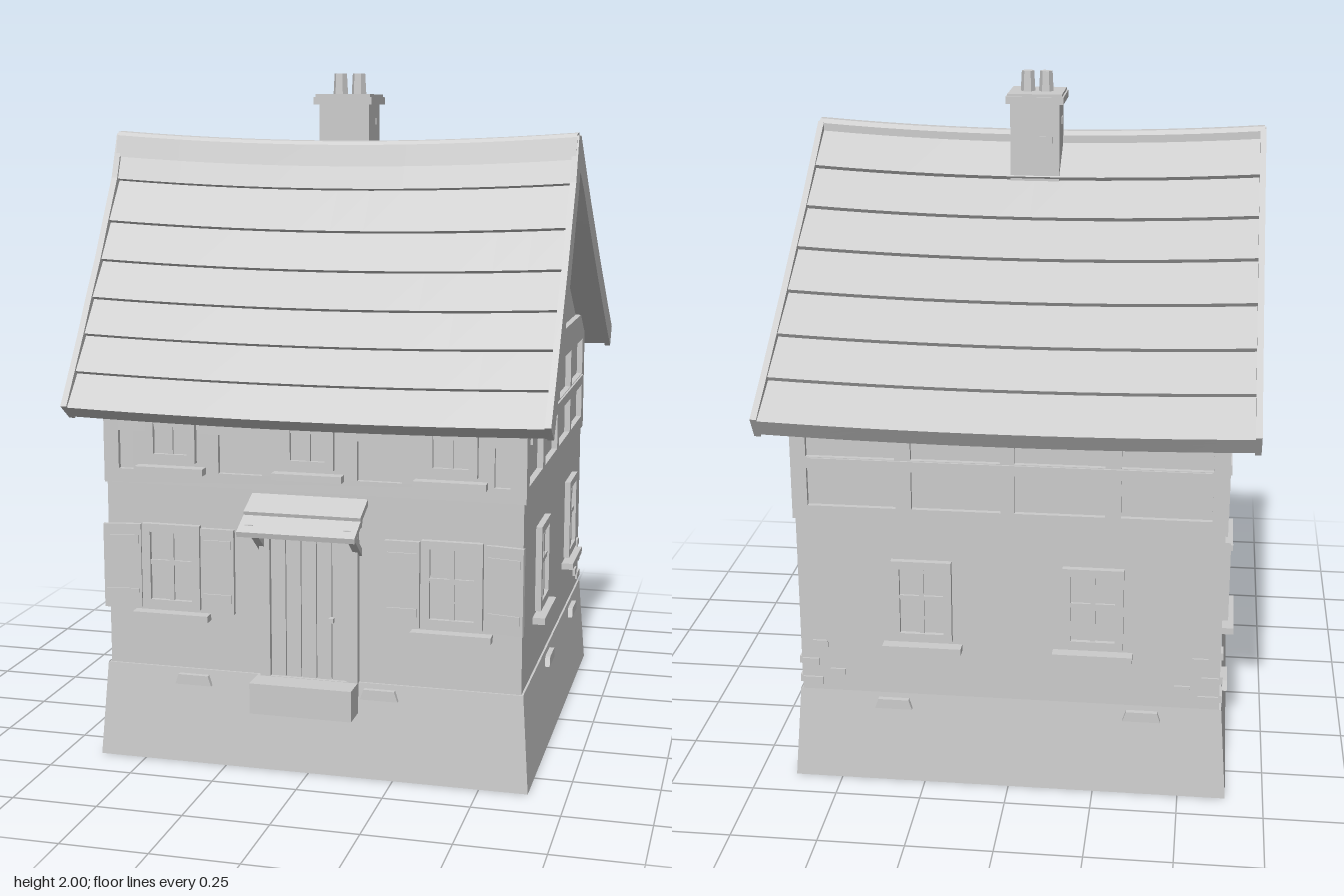
import * as THREE from 'three';

const stone = new THREE.MeshStandardMaterial({ color: 0xcccccc });
stone.name = 'plain grey';
stone.side = THREE.DoubleSide;

function add(parent, name, geometry, x = 0, y = 0, z = 0) {
  const mesh = new THREE.Mesh(geometry, stone);
  mesh.name = name;
  mesh.position.set(x, y, z);
  parent.add(mesh);
  return mesh;
}
const box = (parent, name, w, h, d, x, y, z) => add(parent, name, new THREE.BoxGeometry(w, h, d), x, y, z);

function shapeOf(points, holes = []) {
  const toV = (list) => list.map(([a, b]) => new THREE.Vector2(a, b));
  const shape = new THREE.Shape(toV(points));
  holes.forEach((h) => shape.holes.push(new THREE.Path(toV(h))));
  return shape;
}
const rect = (x0, x1, y0, y1) => [[x0, y0], [x1, y0], [x1, y1], [x0, y1]];
const extrude = (points, holes, depth, steps = 1) =>
  new THREE.ExtrudeGeometry(shapeOf(points, holes), { depth, steps, bevelEnabled: false });

// A (z, y) outline swept along x from x0 to x1
function prism(points, x0, x1, holes = [], steps = 1) {
  return extrude(points, holes, x1 - x0, steps).rotateY(-Math.PI / 2).translate(x1, 0, 0);
}

// Old roofs sag in the middle, most at the ridge
function sag(geometry) {
  const p = geometry.attributes.position;
  for (let i = 0; i < p.count; i++) {
    const k = 1 - (p.getX(i) / 0.69) ** 2;
    p.setY(i, p.getY(i) - 0.025 * k * (0.4 + 0.6 * (p.getY(i) - 1) / 0.8));
  }
  geometry.computeVertexNormals();
  return geometry;
}

// Moves a slope profile along its normal; s is +1 for the front, -1 for the back
function offset(profile, d, s) {
  return profile.map(([z, y], i) => {
    if (i === 0) return [z, y + d * 1.25];
    const [az, ay] = profile[i - 1];
    const [bz, by] = profile[Math.min(i + 1, profile.length - 1)];
    const l = Math.hypot(bz - az, by - ay);
    return [z - ((by - ay) / l) * d * s, y + (Math.abs(bz - az) / l) * d];
  });
}
// Layer between two offsets; both slopes share one point under the ridge
function band(profile, top, bottom, s) {
  const under = offset(profile, bottom, s);
  under[0] = [0.212, 1.815 + bottom * 1.4];
  return [...offset(profile, top, s), ...under.reverse()];
}

function buildRoof(house) {
  const roof = new THREE.Group();
  roof.name = 'roof';
  house.add(roof);
  const slopes = [
    ['front', 1, [[0.25, 1.815], [0.295, 1.69], [0.37, 1.57], [0.437, 1.46], [0.51, 1.355], [0.575, 1.255], [0.645, 1.155], [0.713, 1.06]]],
    ['back', -1, [[0.205, 1.815], [0.068, 1.71], [-0.063, 1.612], [-0.2, 1.517], [-0.338, 1.42], [-0.477, 1.327], [-0.61, 1.238], [-0.744, 1.153]]],
  ];
  const edges = [-0.7, 0.682];
  for (const [side, s, p] of slopes) {
    add(roof, side + 'RoofDeck', sag(prism(band(p, -0.014, -0.058, s), -0.684, 0.684, [], 14)));
    // Overlapping rows, each lifted at its lower edge
    const low = offset(p, -0.014, s);
    const under = offset(p, -0.03, s);
    for (let i = 0; i < p.length - 1; i++) {
      add(roof, side + 'RoofRow', sag(prism([low[i], p[i + 1], under[i + 1], under[i]], -0.684, 0.684, [], 14)));
    }
    for (const x of edges) add(roof, side + 'Bargeboard', sag(prism(band(p, 0.006, -0.068, s), x, x + 0.018)));
  }
  for (const x of edges) {
    add(roof, 'gablePeak', sag(prism([[0.205, 1.82], [0.25, 1.82], [0.212, 1.72]], x, x + 0.018)));
  }
  add(roof, 'ridgeCap', sag(prism([[0.275, 1.755], [0.258, 1.818], [0.25, 1.828], [0.215, 1.83], [0.2, 1.818], [0.2, 1.77]], -0.695, 0.695, [], 14)));
}

function buildChimney(house) {
  const chimney = new THREE.Group();
  chimney.name = 'chimney';
  house.add(chimney);
  box(chimney, 'stack', 0.15, 0.32, 0.135, 0, 1.75, 0.14);
  box(chimney, 'cap', 0.176, 0.022, 0.17, 0, 1.92, 0.144);
  box(chimney, 'capTop', 0.166, 0.01, 0.16, 0, 1.934, 0.144);
  for (const x of [-0.028, 0.028]) {
    const pot = new THREE.CylinderGeometry(0.019, 0.023, 0.07, 6).rotateY(Math.PI / 6).toNonIndexed();
    pot.computeVertexNormals();
    add(chimney, 'pot', pot, x, 1.965, 0.14);
  }
  box(chimney, 'brick', 0.04, 0.02, 0.008, -0.035, 1.8, 0.073);
  box(chimney, 'brick', 0.008, 0.02, 0.035, 0.074, 1.86, 0.11);
  box(chimney, 'brick', 0.008, 0.02, 0.035, -0.074, 1.85, 0.15);
}

// Window with frame, glazing bars and sill; (u, y) is its centre and w the wall face
function addWindow(face, u, y, w, width = 0.175, height = 0.25) {
  const win = new THREE.Group();
  win.name = 'window';
  win.position.set(u, y, w);
  face.add(win);
  const a = width / 2, b = height / 2, t = 0.024;
  add(win, 'frame', extrude(rect(-a, a, -b, b), [rect(-a + t, a - t, -b + t, b - t)], 0.018));
  box(win, 'pane', width - t, height - t, 0.006, 0, 0, 0.002);
  box(win, 'uprightBar', 0.014, height - t, 0.012, 0, 0, 0.006);
  box(win, 'crossBar', width - t, 0.014, 0.012, 0, 0.01, 0.006);
  box(win, 'sill', width + 0.055, 0.02, 0.045, 0, -b - 0.022, 0.012);
}

// Battened shutter, turned a little on its hinge
function addShutter(face, u, width, angle) {
  const shutter = new THREE.Group();
  shutter.name = 'shutter';
  shutter.position.set(u, 0.58, 0.627);
  shutter.rotation.y = angle;
  face.add(shutter);
  box(shutter, 'shutterBoard', width, 0.25, 0.014, 0, 0, 0);
  for (const y of [-0.08, 0.08]) box(shutter, 'shutterBatten', width - 0.015, 0.025, 0.006, 0, y, 0.009);
}

function buildDoor(face) {
  const door = new THREE.Group();
  door.name = 'door';
  door.position.z = 0.615;
  face.add(door);
  add(door, 'doorFrame', extrude(rect(-0.145, 0.145, 0.28, 0.73), [rect(-0.115, 0.112, 0.281, 0.69)], 0.02));
  for (let i = 0; i < 5; i++) box(door, 'doorPlank', 0.0425, 0.41, 0.01, -0.092 + i * 0.0455, 0.485, 0.004);
  box(door, 'knob', 0.014, 0.014, 0.02, 0.068, 0.46, 0.016);
  box(door, 'step', 0.3, 0.09, 0.09, -0.005, 0.235, 0.05);
  // Sloping porch roof of two boards on brackets
  add(door, 'canopyUpperBoard', prism([[0, 0.795], [0, 0.815], [0.085, 0.78], [0.08, 0.762]], -0.17, 0.17));
  add(door, 'canopyLowerBoard', prism([[0.06, 0.762], [0.065, 0.778], [0.152, 0.737], [0.148, 0.722]], -0.17, 0.17));
  for (const x of [-0.142, 0.142]) {
    box(door, 'canopyArm', 0.022, 0.018, 0.13, x, 0.743, 0.06);
    add(door, 'canopyBrace', prism([[0, 0.65], [0, 0.672], [0.09, 0.742], [0.115, 0.737]], x - 0.011, x + 0.011));
  }
}

// Stones set in the top of the plinth, whose face lies at w
function addPlinthStones(face, spots, w) {
  for (const u of spots) {
    add(face, 'plinthStone', extrude([[u - 0.055, 0.235], [u + 0.055, 0.235], [u + 0.045, 0.265], [u - 0.045, 0.265]], [], 0.015), 0, 0, w);
  }
}

// A few bricks showing through the plaster near a corner
function addCornerBricks(face, corner) {
  for (const [inset, y, w] of [[0.035, 0.31, 0.06], [0.11, 0.34, 0.045], [0.03, 0.37, 0.05], [0.06, 0.43, 0.045]]) {
    box(face, 'cornerBrick', w, 0.022, 0.01, corner * (0.615 - inset), y, 0.616);
  }
}

export function createModel() {
  const house = new THREE.Group();
  house.name = 'house';

  // Tapered hollow plinth and ground storey
  const plinth = new THREE.CylinderGeometry(0.62 * Math.SQRT2, 0.64 * Math.SQRT2, 0.28, 4, 1, true)
    .rotateY(Math.PI / 4).toNonIndexed();
  plinth.computeVertexNormals();
  add(house, 'plinth', plinth, 0, 0.14, -0.016);
  box(house, 'plinthLedge', 1.238, 0.006, 1.238, 0, 0.276, -0.016);
  box(house, 'groundStorey', 1.226, 0.552, 1.23, 0, 0.554, -0.02);

  // Upper storey core with its gable
  add(house, 'upperStorey', prism([[0.585, 0.825], [0.585, 1.15], [0.22, 1.755], [-0.625, 1.165], [-0.625, 0.825]], -0.602, 0.602));

  // Timber framing of the gable ends, with sunken panels
  const columns = [[0.295, 0.55], [0, 0.253], [-0.295, -0.042], [-0.59, -0.33]];
  const rows = [[0.867, 0.98], [1.015, 1.133]];
  const panels = (cols) => cols.flatMap(([a, b]) => rows.map(([c, d]) => rect(a, b, c, d)));
  const gableHoles = [
    [[0.38, 1.22], [0.38, 1.47], [0.53, 1.22]],
    [[0.08, 1.22], [0.08, 1.645], [-0.105, 1.518], [-0.105, 1.22]],
    [[-0.155, 1.22], [-0.155, 1.485], [-0.53, 1.22]],
    [[0.215, 1.515], [0.215, 1.735], [0.12, 1.67], [0.12, 1.515]],
  ];
  const gable = [[0.6, 0.825], [0.6, 1.14], [0.22, 1.755], [-0.64, 1.165], [-0.64, 0.825]];
  for (const x of [-0.62, 0.6]) {
    add(house, 'gableTimbers', prism(gable, x, x + 0.02, [...panels(columns), ...gableHoles]));
    box(house, 'sideRail', 0.016, 0.03, 1.12, x + 0.01 + Math.sign(x) * 0.008, 0.998, -0.015);
  }

  // Wall faces, each built looking along +z and then turned
  const makeFace = (name, angle) => {
    const face = new THREE.Group();
    face.name = name;
    face.position.z = -0.02;
    face.rotation.y = angle;
    house.add(face);
    return face;
  };
  const wall = rect(-0.62, 0.62, 0.825, 1.15);

  const front = makeFace('frontWall', 0);
  const narrow = [[-0.27, -0.14], [0.14, 0.27], [-0.575, -0.53], [0.53, 0.575]];
  add(front, 'frontTimbers', extrude(wall, panels(narrow), 0.02), 0, 0, 0.6);
  for (const u of [-0.41, 0, 0.41]) addWindow(front, u, 0.995, 0.62, 0.15, 0.2);
  for (const s of [-1, 1]) {
    addWindow(front, s * 0.415, 0.585, 0.615);
    addShutter(front, s * 0.273, 0.1, 0);
    addShutter(front, s * 0.565, 0.11, -s * 0.18);
  }
  buildDoor(front);
  addPlinthStones(front, [-0.35, 0.208], 0.626);

  const back = makeFace('backWall', Math.PI);
  add(back, 'backTimbers', extrude(wall, panels([[-0.575, -0.32], [-0.275, -0.02], [0.02, 0.275], [0.32, 0.575]]), 0.02), 0, 0, 0.6);
  box(back, 'backRail', 1.14, 0.03, 0.016, 0, 0.998, 0.618);
  for (const u of [-0.25, 0.245]) addWindow(back, u, 0.585, 0.615);
  addPlinthStones(back, [-0.34, 0.39], 0.618);
  addCornerBricks(back, 1);
  addCornerBricks(back, -1);

  for (const s of [-1, 1]) {
    const side = makeFace(s < 0 ? 'rightWall' : 'leftWall', s * Math.PI / 2);
    for (const z of [0.31, -0.31]) addWindow(side, -s * z, 0.585, 0.615);
    addWindow(side, -s * 0.25, 1.39, 0.62, 0.165, 0.18);
    addPlinthStones(side, [-s * 0.165, s * 0.36], 0.622);
    addCornerBricks(side, s);
  }

  buildRoof(house);
  buildChimney(house);
  return house;
}
